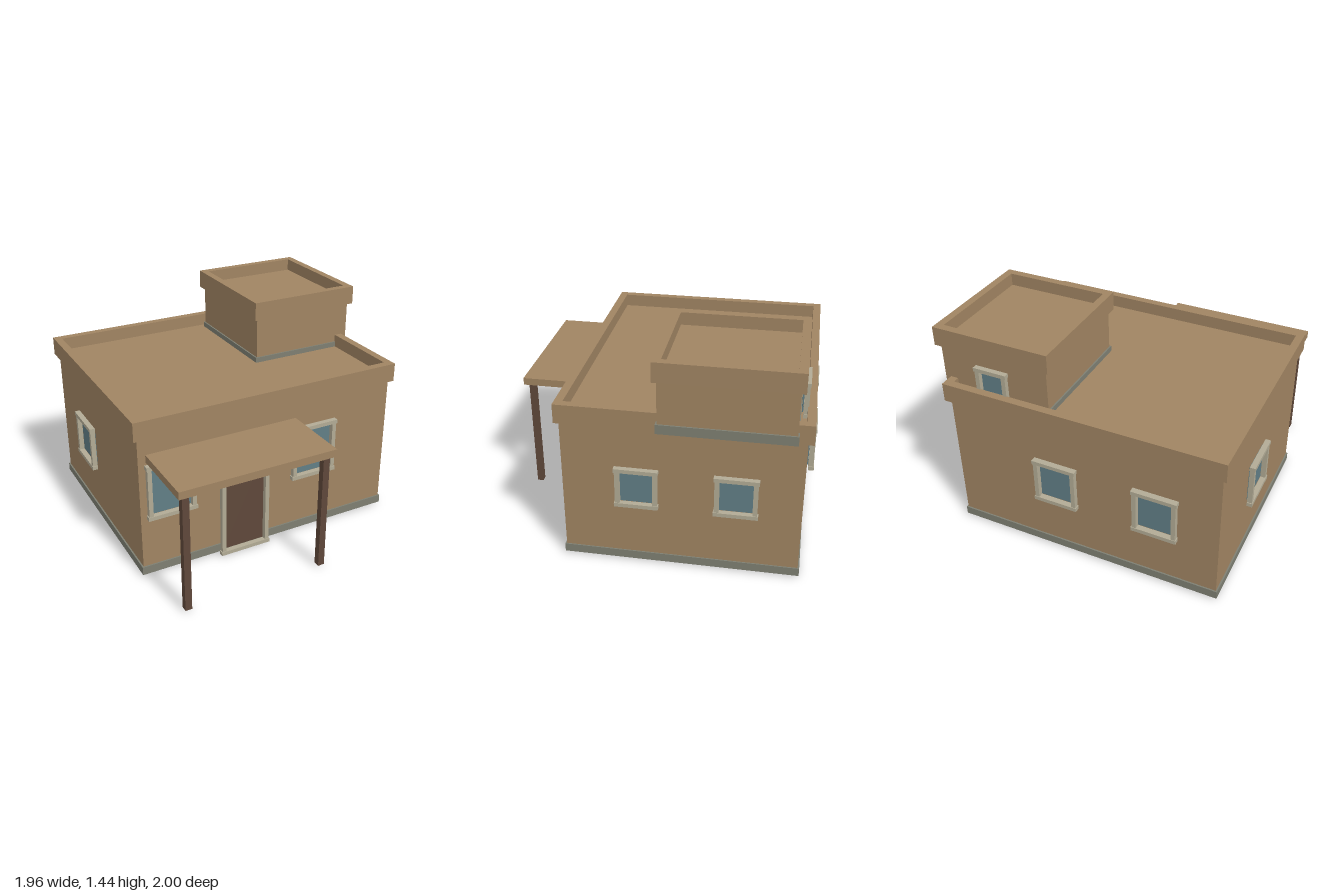
import * as THREE from 'three';

const mat = (name, color) => {
  const m = new THREE.MeshStandardMaterial({ color });
  m.name = name;
  return m;
};

export function createModel() {
  const adobe = mat('adobe', 0xa08462);
  const trim = mat('trim', 0xb2ab95);
  const stone = mat('stone', 0x7e7f72);
  const glass = mat('glass', 0x617e86);
  const wood = mat('wood', 0x5f483a);

  const house = new THREE.Group();
  house.name = 'house';

  // Box given by its extents on each axis
  const box = (name, material, [x0, x1], [y0, y1], [z0, z1], parent = house) => {
    const mesh = new THREE.Mesh(new THREE.BoxGeometry(x1 - x0, y1 - y0, z1 - z0), material);
    mesh.position.set((x0 + x1) / 2, (y0 + y1) / 2, (z0 + z1) / 2);
    mesh.name = name;
    parent.add(mesh);
  };

  // Rectangular ring wall around a flat roof
  const parapet = (name, [x0, x1], [y0, y1], [z0, z1], t) => {
    const rect = (P, d) => new P([
      new THREE.Vector2(x0 + d, -z1 + d), new THREE.Vector2(x1 - d, -z1 + d),
      new THREE.Vector2(x1 - d, -z0 - d), new THREE.Vector2(x0 + d, -z0 - d),
    ]);
    const shape = rect(THREE.Shape, 0);
    shape.holes.push(rect(THREE.Path, t));
    const geo = new THREE.ExtrudeGeometry(shape, { depth: y1 - y0, bevelEnabled: false });
    geo.rotateX(-Math.PI / 2);
    const mesh = new THREE.Mesh(geo, adobe);
    mesh.position.y = y0;
    mesh.name = name;
    house.add(mesh);
  };

  // Framed opening: local z = 0 is the wall face, +z points outward
  const opening = (name, panel, w, y0, y1, gap, depth, pos, turn) => {
    const g = new THREE.Group();
    g.name = name;
    const h = w / 2, t = 0.026, out = gap + depth;
    box('panel', panel, [-h + 0.03, h - 0.03], [y0 + t, y1 - t], [gap - 0.01, gap - 0.002], g);
    box('sill', trim, [-h, h], [y0, y0 + t], [gap, out], g);
    box('head', trim, [-h, h], [y1 - t, y1], [gap, out], g);
    for (const s of [-1, 1]) {
      const a = s * (h - 0.006), b = s * (h - 0.034);
      box('jamb', trim, [Math.min(a, b), Math.max(a, b)], [y0 + t, y1 - t], [gap, out - 0.004], g);
    }
    g.position.set(pos[0], 0, pos[1]);
    g.rotation.y = turn;
    house.add(g);
  };

  // Main block
  box('walls', adobe, [-0.925, 0.885], [0.008, 1.005], [-0.94, 0.53]);
  box('footing', stone, [-0.935, 0.893], [0.01, 0.066], [-0.95, 0.54]);
  parapet('roofParapet', [-0.953, 0.912], [0.966, 1.091], [-0.973, 0.555], 0.052);

  // Upper room
  box('upperRoom', adobe, [0.215, 0.95], [0.986, 1.36], [-0.878, -0.075]);
  box('upperFooting', stone, [0.205, 0.96], [0.981, 1.041], [-0.885, -0.065]);
  parapet('upperParapet', [0.188, 0.977], [1.318, 1.443], [-0.905, -0.05], 0.05);

  // Porch canopy on two posts
  box('porchRoof', adobe, [-0.875, 0.163], [0.804, 0.854], [0.53, 1.0]);
  for (const x of [-0.821, 0.112]) {
    box('porchPost', wood, [x - 0.022, x + 0.022], [0.008, 0.804], [0.93, 0.972]);
  }

  // Door and front windows
  opening('frontDoor', wood, 0.355, 0, 0.697, 0.019, 0.035, [-0.222, 0.53], 0);
  for (const x of [-0.728, 0.288]) {
    opening('frontWindow', glass, 0.33, 0.422, 0.797, 0.019, 0.035, [x, 0.53], 0);
  }

  // Side and back windows
  for (const z of [0.062, -0.545]) {
    opening('leftWindow', glass, 0.272, 0.427, 0.697, 0.016, 0.034, [0.885, z], Math.PI / 2);
  }
  opening('rightWindow', glass, 0.31, 0.405, 0.715, 0.019, 0.036, [-0.925, -0.345], -Math.PI / 2);
  for (const x of [-0.525, 0.145]) {
    opening('backWindow', glass, 0.295, 0.405, 0.715, 0.022, 0.038, [x, -0.94], Math.PI);
  }
  opening('upperWindow', glass, 0.225, 1.015, 1.243, 0.022, 0.034, [0.582, -0.875], Math.PI);

  return house;
}
